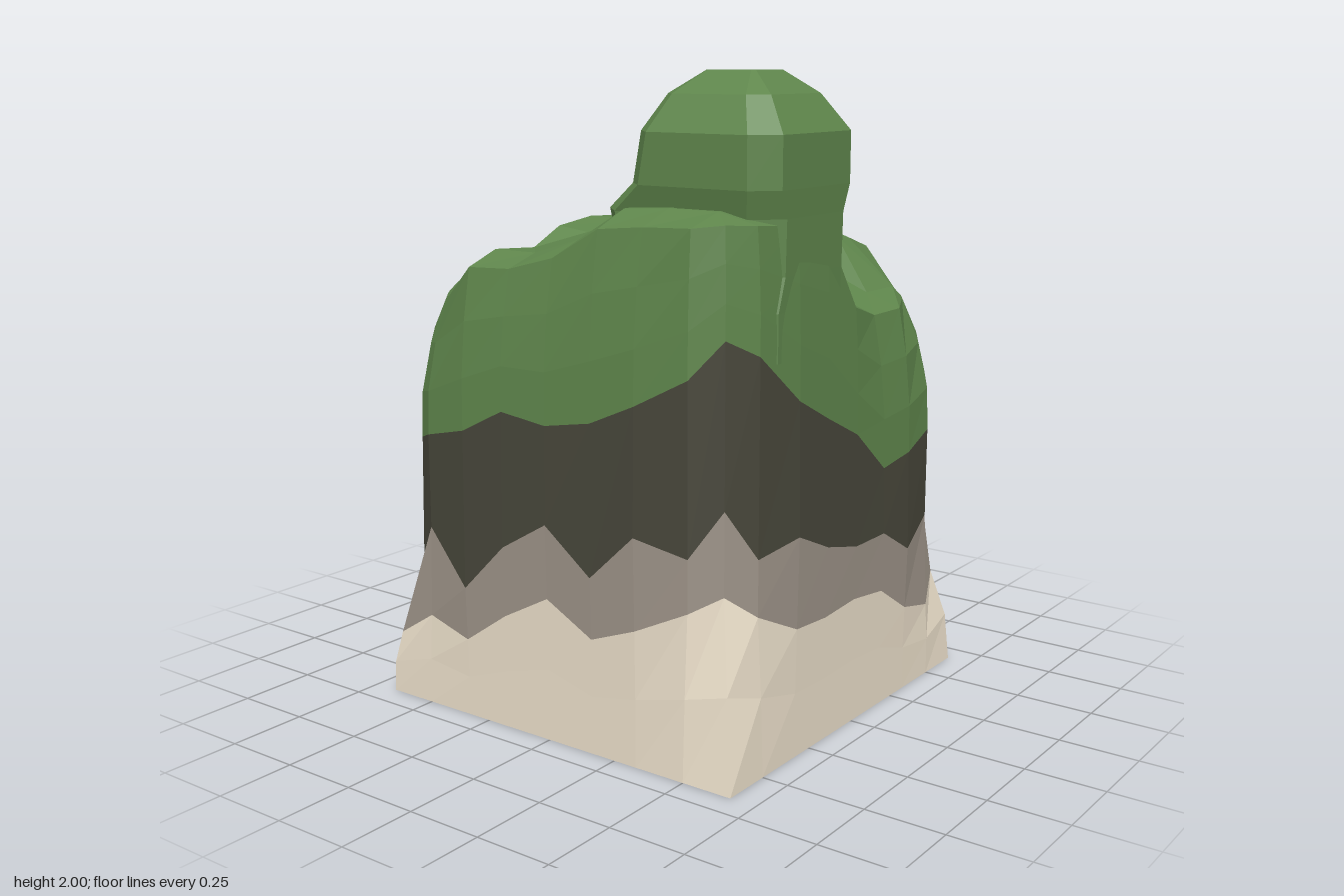
import * as THREE from 'three';

const GRASS = 0x5f864c, SOIL = 0x47463a, ROCK = 0x9d9388, SAND = 0xebdfca;
const STEPS = [-0.5, -0.33, -0.17, 0, 0.17, 0.33, 0.5];

// Height of each layer boundary: rows are front, right, back, left; each ends with its corner
const SAND_TOP = [
  0.29, 0.25, 0.36, 0.45, 0.36, 0.42, 0.50, 0.55,
  0.48, 0.40, 0.39, 0.40, 0.38, 0.28, 0.24, 0.32,
  0.36, 0.33, 0.35, 0.40, 0.45, 0.50, 0.55, 0.52,
  0.40, 0.25, 0.14, 0.14, 0.20, 0.25, 0.25, 0.20];
const ROCK_TOP = [
  0.58, 0.42, 0.58, 0.68, 0.55, 0.70, 0.66, 0.80,
  0.65, 0.68, 0.61, 0.57, 0.57, 0.48, 0.55, 0.58,
  0.70, 0.66, 0.62, 0.58, 0.60, 0.66, 0.74, 0.80,
  0.60, 0.40, 0.19, 0.30, 0.50, 0.60, 0.50, 0.43];
const SOIL_TOP = [
  0.88, 0.92, 1.00, 0.98, 1.01, 1.08, 1.17, 1.28,
  1.23, 1.08, 1.00, 0.92, 0.78, 0.80, 0.84, 0.90,
  0.97, 0.96, 0.93, 0.92, 0.92, 0.97, 1.00, 0.95,
  0.93, 0.95, 0.92, 0.95, 1.00, 1.05, 0.95, 0.85];

// Plateau heights, rows from back to front, columns from -x to +x
const TOP = [
  [1.41, 1.48, 1.48, 1.50, 1.50, 1.45, 1.30],
  [1.49, 1.48, 1.48, 1.49, 1.50, 1.46, 1.30],
  [1.50, 1.48, 1.38, 1.38, 1.37, 1.36, 1.30],
  [1.48, 1.46, 1.38, 1.38, 1.36, 1.34, 1.34],
  [1.40, 1.41, 1.43, 1.50, 1.58, 1.60, 1.60],
  [1.38, 1.44, 1.45, 1.53, 1.62, 1.64, 1.62],
  [1.34, 1.46, 1.46, 1.51, 1.61, 1.62, 1.62]];
// Inner grid lines are squeezed together where the raised rim steps down
const WARP_X = [-0.5, -0.39, -0.32, -0.04, 0.13, 0.33, 0.5];
const WARP_Z = [-0.5, -0.34, -0.27, -0.03, 0.16, 0.33, 0.5];

const quad = (out, a, b, c, d) => out.push(a, b, c, a, c, d);

// Skin between consecutive closed loops of equal length
function skin(out, loops) {
  for (let k = 0; k + 1 < loops.length; k++) {
    const lo = loops[k], hi = loops[k + 1], n = lo.length;
    for (let i = 0; i < n; i++) quad(out, lo[i], lo[(i + 1) % n], hi[(i + 1) % n], hi[i]);
  }
}

function fan(out, loop) {
  for (let i = 1; i + 1 < loop.length; i++) out.push(loop[0], loop[i], loop[i + 1]);
}

function addMesh(group, name, color, points) {
  const geometry = new THREE.BufferGeometry().setFromPoints(points);
  geometry.computeVertexNormals();
  const material = new THREE.MeshStandardMaterial({ color, flatShading: true });
  const mesh = new THREE.Mesh(geometry, material);
  mesh.name = name;
  group.add(mesh);
}

// Closed outline of the block, counter-clockwise from above; its corners round off with height
function outline(edge, heightAt) {
  const pts = [];
  for (let side = 0; side < 4; side++) {
    for (let j = 0; j < 8; j++) {
      const y = heightAt(side * 8 + j);
      const round = THREE.MathUtils.smoothstep(y, 0.05, 0.5);
      const corner = 0.665 - 0.08 * round;
      const along = j < 7 ? STEPS[j] : corner;
      const out = j === 7 ? corner : (j === 0 || j === 6 ? 0.665 - 0.022 * round : edge);
      const [x, z] = [[along, out], [out, -along], [-along, -out], [-out, along]][side];
      pts.push(new THREE.Vector3(x, y, z));
    }
  }
  return pts;
}

// Point of the plateau grid; border points stay on the regular steps
function topPoint(i, j) {
  const inner = i > 0 && i < 6 && j > 0 && j < 6;
  const slant = j < 3 ? 0.13 * (WARP_X[i] + 0.32) : 0;
  return new THREE.Vector3(
    inner ? WARP_X[i] : STEPS[i], TOP[j][i], inner ? WARP_Z[j] - slant : STEPS[j]);
}

// Nearest plateau border point for a point of the outline
function rimPoint(p) {
  const index = (v) => {
    let best = 0;
    STEPS.forEach((s, k) => { if (Math.abs(s - v) < Math.abs(STEPS[best] - v)) best = k; });
    return best;
  };
  return topPoint(index(p.x), index(p.z));
}

// How far the shoulder leans in: upright beside the knoll, soft at -x and the other corners
function lean(i) {
  if (i >= 6 && i <= 11) return 0.12;
  return i >= 24 || [0, 6, 7].includes(i % 8) ? 1 : 0.38;
}

// Chamfered rectangle loop for the knoll, cut deeper at its back left corner
function knollLoop(y, x0, x1, z0, z1, c) {
  return [[x0 + c, z1], [x1 - c, z1], [x1, z1 - c], [x1, z0 + c],
    [x1 - c, z0], [x0 + 1.9 * c, z0], [x0, z0 + 1.9 * c], [x0, z1 - c]]
    .map(([x, z]) => new THREE.Vector3(x, y, z));
}

export function createModel() {
  const group = new THREE.Group();
  group.name = 'terrainBlock';

  // Layer outlines from the foot up
  const foot = outline(0.665, () => 0);
  const sandMiddle = outline(0.665, (i) => SAND_TOP[i] / 2);
  const sandTop = outline(0.668, (i) => SAND_TOP[i]);
  const rockTop = outline(0.673, (i) => ROCK_TOP[i]);
  const soilTop = outline(0.667, (i) => SOIL_TOP[i]);

  const sand = [];
  skin(sand, [foot, sandMiddle, sandTop]);
  fan(sand, foot.slice().reverse());
  addMesh(group, 'sandLayer', SAND, sand);

  const rock = [];
  skin(rock, [sandTop, rockTop]);
  addMesh(group, 'rockLayer', ROCK, rock);

  const soil = [];
  skin(soil, [rockTop, soilTop]);
  addMesh(group, 'soilLayer', SOIL, soil);

  // Grass shoulder curving from the soil line to the plateau rim
  const rim = soilTop.map(rimPoint);
  const shoulder = (inward, up) => soilTop.map((p, i) => {
    const q = p.clone().lerp(rim[i], inward * lean(i));
    q.y = THREE.MathUtils.lerp(p.y, rim[i].y, up);
    return q;
  });
  const grass = [];
  skin(grass, [soilTop, shoulder(0.04, 0.3), shoulder(0.3, 0.62), shoulder(0.75, 0.92), rim]);

  // Plateau with its raised back rim
  for (let j = 0; j < 6; j++) {
    for (let i = 0; i < 6; i++) {
      quad(grass, topPoint(i, j + 1), topPoint(i + 1, j + 1), topPoint(i + 1, j), topPoint(i, j));
    }
  }
  addMesh(group, 'grassTop', GRASS, grass);

  // Dark hollow under the back edge of the knoll
  const hollow = [];
  skin(hollow, [
    knollLoop(1.25, 0.08, 0.54, 0.02, 0.4, 0.08),
    knollLoop(1.44, 0.08, 0.54, 0.02, 0.4, 0.08)]);
  addMesh(group, 'knollHollow', SOIL, hollow);

  // Knoll rising out of the +x wall, with a low ledge on its -x side
  const knoll = [];
  const crown = knollLoop(2.0, 0.33, 0.5, 0.17, 0.33, 0.01);
  skin(knoll, [
    knollLoop(1.2, 0.4, 0.655, 0.04, 0.5, 0.07),
    knollLoop(1.34, 0.16, 0.655, 0.03, 0.5, 0.07),
    knollLoop(1.44, 0.08, 0.657, 0.02, 0.48, 0.08),
    knollLoop(1.6, 0.04, 0.66, 0.02, 0.48, 0.08),
    knollLoop(1.68, 0.15, 0.663, 0.0, 0.5, 0.07),
    knollLoop(1.83, 0.18, 0.663, 0.0, 0.5, 0.07),
    knollLoop(1.935, 0.24, 0.59, 0.07, 0.43, 0.05),
    crown]);
  fan(knoll, crown);
  addMesh(group, 'knoll', GRASS, knoll);

  return group;
}
